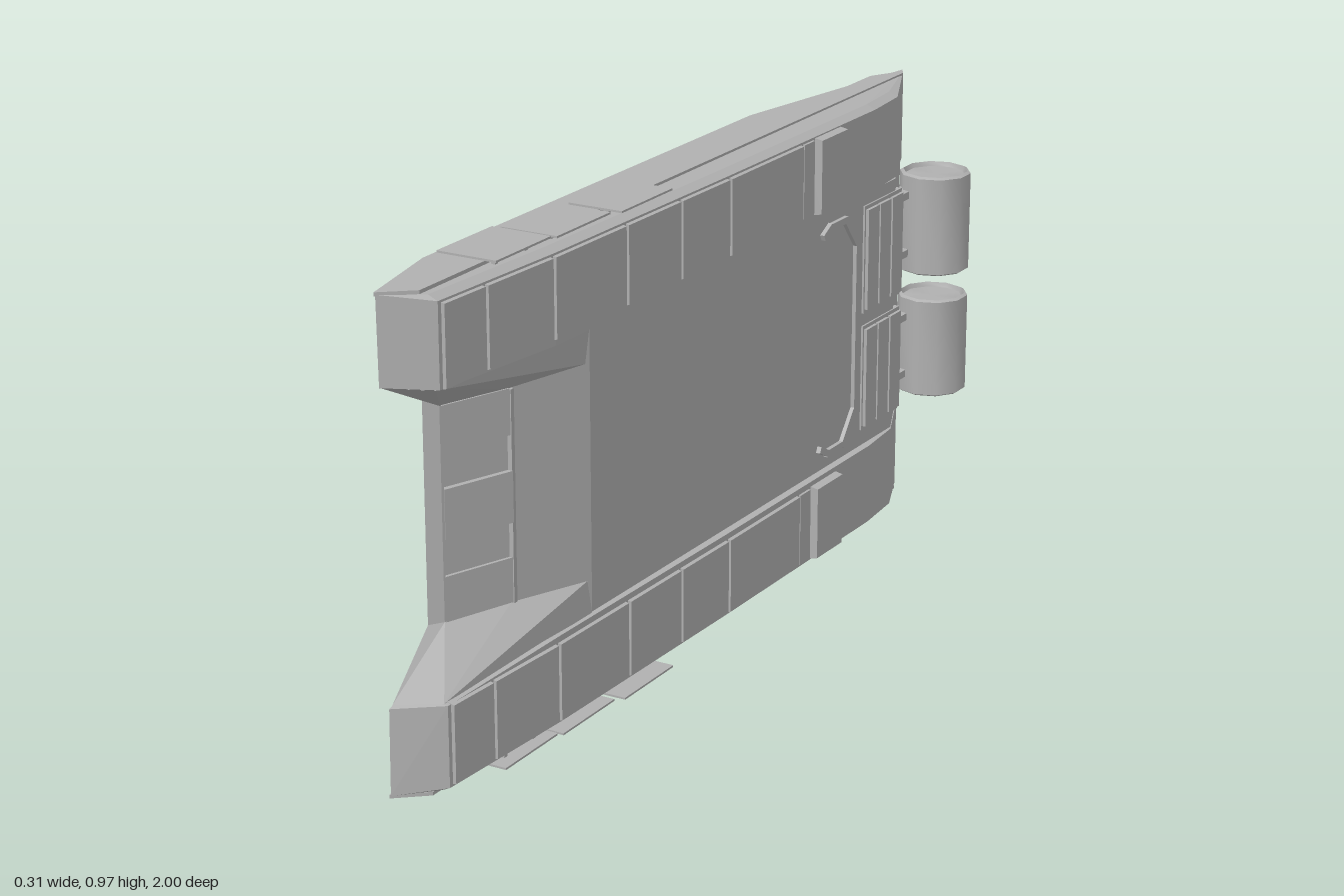
import * as THREE from 'three';
import { ConvexGeometry } from 'three/addons/geometries/ConvexGeometry.js';
import { toCreasedNormals } from 'three/addons/utils/BufferGeometryUtils.js';

// An armoured hull lying on its side: deck faces +x, width runs along y, nose points to +z.
export function createModel() {
  const model = new THREE.Group();
  model.name = 'hull';
  const steel = new THREE.MeshStandardMaterial({ color: 0xb0b0b0 });
  steel.name = 'steelGrey';
  const body = new THREE.Group();
  body.name = 'hullBody';
  body.position.y = 0.485;
  model.add(body);

  const add = (geometry, name) => {
    const mesh = new THREE.Mesh(geometry, steel);
    mesh.name = name;
    body.add(mesh);
    return mesh;
  };
  const convex = (points, name) =>
    add(new ConvexGeometry(points.map((p) => new THREE.Vector3(...p))), name);
  const box = (x0, x1, y0, y1, z0, z1, name) => {
    const g = new THREE.BoxGeometry(Math.abs(x1 - x0), Math.abs(y1 - y0), Math.abs(z1 - z0));
    return add(g.translate((x0 + x1) / 2, (y0 + y1) / 2, (z0 + z1) / 2), name);
  };
  const bothSides = (points) => points.flatMap(([x, y, z]) => [[x, y, z], [x, -y, z]]);

  // Central tub with sloped belly, nose and tail
  convex(bothSides([
    [-0.155, 0.278, 0.69], [-0.155, 0.278, -0.7], [-0.02, 0.278, -0.8], [0.02, 0.278, -0.865],
    [0.083, 0.278, -0.72], [0.073, 0.278, 0.48], [0.012, 0.207, 0.66], [-0.04, 0.207, 0.8],
  ]), 'tub');

  // Spare blocks on the nose plate
  for (const [y0, y1, h] of [[-0.205, -0.117, 0.006], [-0.048, 0.052, 0.01], [0.12, 0.209, 0.006]]) {
    const points = [];
    for (const y of [y0, y1]) {
      points.push([-0.042, y, 0.79], [0.01, y, 0.66], [-0.04 + h, y, 0.802 + h * 0.3], [0.012 + h, y, 0.662]);
    }
    convex(points, 'noseBlock');
  }
  box(0.005, 0.02, -0.207, 0.207, 0.652, 0.662, 'glacisLip');

  // Fender top height along the length
  const roof = [[0.94, 0.06], [0.6, 0.078], [0, 0.089], [-0.6, 0.094], [-0.72, 0.084]];
  const roofAt = (z) => {
    for (let i = 0; i < roof.length - 1; i++) {
      const [za, xa] = roof[i], [zb, xb] = roof[i + 1];
      if (z >= zb) return xa + ((xb - xa) * (za - z)) / (za - zb);
    }
    return 0.084;
  };

  const panelCuts = [0.935, 0.81, 0.61, 0.37, 0.18, 0, -0.29, -0.34, -0.455];
  for (const s of [1, -1]) {
    // Wedge joining the nose to the fender
    convex([
      [-0.155, s * 0.278, 0.69], [-0.04, s * 0.207, 0.8], [0.012, s * 0.207, 0.66],
      [0.07, s * 0.212, 0.48], [0.073, s * 0.28, 0.48], [0.052, s * 0.293, 0.94],
      [-0.028, s * 0.296, 0.985], [-0.04, s * 0.278, 0.6],
    ], 'noseWedge');

    // Fender with a slightly leaning outer wall
    const fender = [
      [-0.026, s * 0.282, 0.95], [-0.026, s * 0.47, 0.95], [-0.028, s * 0.3, 0.995], [-0.028, s * 0.468, 0.998],
      [-0.022, s * 0.278, -0.8], [-0.022, s * 0.47, -0.8], [0.018, s * 0.278, -0.875], [0.018, s * 0.47, -0.875],
    ];
    for (const [z, x] of roof) {
      const inner = z > 0.9 ? 0.295 : 0.282;
      fender.push([x, s * inner, z], [x, s * 0.455, z], [x - 0.02, s * 0.464, z]);
    }
    convex(fender, 'fender');

    // Thin skirt hanging below the outer edge
    const skirt = new THREE.Shape([
      [-0.03, 1], [-0.074, 0.79], [-0.072, -0.37], [0.015, -0.877], [0.03, -0.85], [0.03, 0.95],
    ].map(([x, z]) => new THREE.Vector2(x, -z)));
    const plate = new THREE.ExtrudeGeometry(skirt, { depth: 0.007, bevelEnabled: false });
    plate.rotateX(-Math.PI / 2).translate(0, s * 0.469 - 0.0035, 0);
    add(plate, 'skirt');

    // Raised panels along the fender top
    for (let i = 0; i < panelCuts.length - 1; i++) {
      const points = [];
      for (const z of [panelCuts[i] - 0.004, panelCuts[i + 1] + 0.004]) {
        const rise = i === 7 ? 0.017 : i === 6 ? 0.004 : 0.007;
        for (const y of [0.296, 0.449]) {
          points.push([roofAt(z) - 0.03, s * (y > 0.4 ? 0.458 : 0.286), z], [roofAt(z) + rise, s * y, z]);
        }
      }
      convex(points, 'fenderPanel');
    }

    // Stand-off side plates on short pegs
    for (const [x0, x1, z0, z1] of [[-0.02, 0.095, 0.22, 0.4], [-0.04, 0.08, 0.415, 0.595], [-0.055, 0.07, 0.6, 0.775]]) {
      box(x0, x1, s * 0.481, s * 0.485, z0, z1, 'sidePlate');
      for (const z of [z0 + 0.04, z1 - 0.04]) {
        for (const x of [0.017, 0.04]) box(x - 0.004, x + 0.004, s * 0.455, s * 0.482, z - 0.005, z + 0.005, 'platePeg');
      }
    }

    // Engine grille: frame with three louvres
    const near = s > 0 ? 0.018 : 0.01, far = s > 0 ? 0.252 : 0.242;
    box(0.07, 0.086, s * near, s * far, -0.745, -0.578, 'grilleFrame');
    for (const z of [-0.607, -0.661, -0.716]) {
      box(0.08, 0.093, s * (near + 0.008), s * (far - 0.008), z - 0.024, z + 0.024, 'grilleLouvre');
    }

    // Fuel drum with recessed ends, and its brackets
    const drumY = s > 0 ? 0.14 : -0.135;
    const profile = [[0, 0.1], [0.066, 0.1], [0.07, 0.11], [0.077, 0.106], [0.077, -0.106], [0.07, -0.11], [0.066, -0.1], [0, -0.1]]
      .reverse().map(([r, y]) => new THREE.Vector2(r, y));
    const drum = toCreasedNormals(new THREE.LatheGeometry(profile, 10), 0.75);
    add(drum.translate(0.078, drumY, -0.92), 'fuelDrum');
    for (const d of [-0.065, 0.065]) {
      box(0.005, 0.05, drumY + d - 0.008, drumY + d + 0.008, -0.88, -0.82, 'drumBracket');
    }
  }

  // Bent splash rail on the deck
  const rail = [[0.23, -0.395], [0.245, -0.425], [0.245, -0.49], [0.18, -0.543]];
  const path = [...rail, ...rail.map(([y, z]) => [-y, z]).reverse()];
  for (let i = 0; i < path.length - 1; i++) {
    const [ya, za] = path[i], [yb, zb] = path[i + 1];
    const bar = box(-0.009, 0.009, -0.007, 0.007, 0, Math.hypot(yb - ya, zb - za) + 0.006, 'splashRail');
    bar.position.set(0.081, ya, za);
    bar.rotation.x = Math.atan2(-(yb - ya), zb - za);
  }

  // Long log across the tail
  const log = toCreasedNormals(new THREE.CylinderGeometry(0.03, 0.03, 0.85, 9), 0.8);
  add(log.translate(-0.022, 0, -0.862), 'tailLog');
  return model;
}
